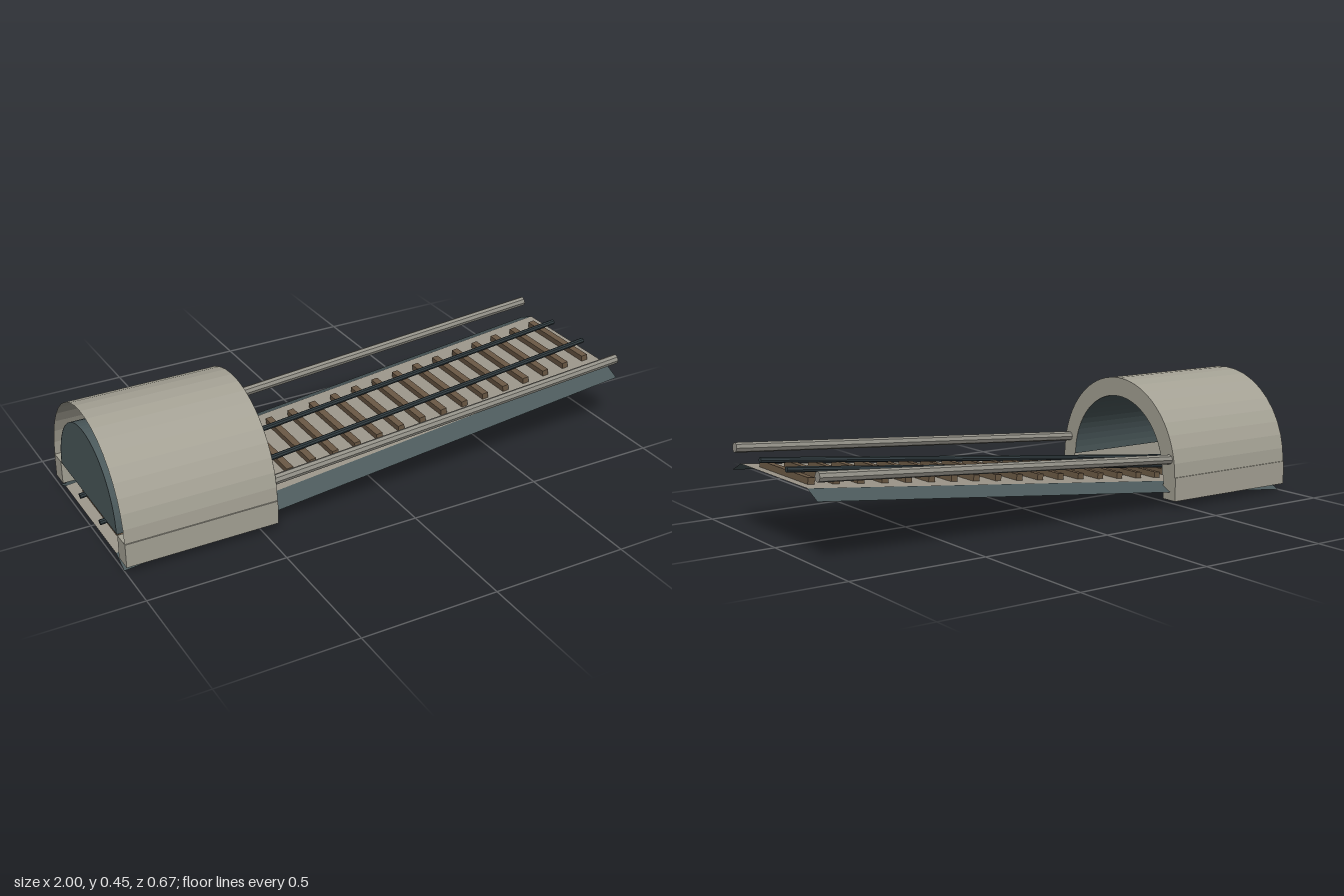
import * as THREE from 'three';

const mat = (name, color, extra = {}) => {
  const m = new THREE.MeshStandardMaterial({ color, ...extra });
  m.name = name;
  return m;
};

export function createModel() {
  const model = new THREE.Group();
  model.name = 'rampTrackWithTunnel';
  const both = { side: THREE.DoubleSide };
  const stone = mat('stone', 0xa5a295, { ...both, flatShading: true });
  const deckStone = mat('deck stone', 0x9d978b, both);
  const slate = mat('slate', 0x4b595b, { ...both, flatShading: true });
  const steel = mat('dark steel', 0x303b3f, { flatShading: true });
  const wood = mat('sleeper wood', 0x6a5844);
  const railing = mat('railing grey', 0x929087, { flatShading: true });

  const add = (name, geo, material, parent = model) => {
    const m = new THREE.Mesh(geo, material);
    m.name = name;
    parent.add(m);
    return m;
  };

  const slope = 0.106;
  const deckY = x => 0.139 + slope * x;

  // Sloped strip along x between two (z, y offset) edges, upper side facing up
  const strip = (z0, d0, z1, d1) => {
    const g = new THREE.BufferGeometry();
    const p = [];
    for (const x of [-1, 1]) p.push(x, deckY(x) + d0, z0, x, deckY(x) + d1, z1);
    g.setAttribute('position', new THREE.Float32BufferAttribute(p, 3));
    g.setIndex([0, 1, 2, 1, 3, 2]);
    g.computeVertexNormals();
    return g;
  };
  add('deck', strip(-0.243, 0, 0.243, 0), deckStone);
  add('leftSkirt', strip(0.243, 0, 0.31, -0.031), slate);
  add('rightSkirt', strip(-0.31, -0.031, -0.243, 0), slate);

  // Sleepers, sunk slightly through the deck
  const sleepers = new THREE.Group();
  sleepers.name = 'sleepers';
  model.add(sleepers);
  const sleeperGeo = new THREE.BoxGeometry(0.025, 0.025, 0.35);
  for (let i = 0; i < 22; i++) {
    const x = -0.95 + i * 1.9 / 21;
    const s = add('sleeper', sleeperGeo, wood, sleepers);
    s.position.set(x, deckY(x) + 0.0095, 0);
    s.rotation.z = Math.atan(slope);
  }

  // Straight round bar between two points at a fixed z
  const bar = (name, x0, y0, x1, y1, z, r, material) => {
    const geo = new THREE.CylinderGeometry(r, r, Math.hypot(x1 - x0, y1 - y0), 8);
    const b = add(name, geo, material);
    b.position.set((x0 + x1) / 2, (y0 + y1) / 2, z);
    b.rotation.z = Math.atan2(y1 - y0, x1 - x0) - Math.PI / 2;
  };
  for (const s of [1, -1]) {
    const side = s > 0 ? 'left' : 'right';
    bar(side + 'Rail', -0.998, deckY(-1) + 0.036, 0.998, deckY(1) + 0.036, s * 0.096, 0.01, steel);
    bar(side + 'Handrail', -0.55, 0.174, 0.994, 0.291, s * 0.302, 0.018, railing);
  }

  // Tunnel
  const tunnel = new THREE.Group();
  tunnel.name = 'tunnel';
  model.add(tunnel);
  const x0 = -1, x1 = -0.447, len = x1 - x0, cx = (x0 + x1) / 2, cy = 0.117;
  const R = 0.333, r = 0.263;

  // Half tube along x, arched upwards
  const arch = (radius, length, segs) => {
    const g = new THREE.CylinderGeometry(radius, radius, length, segs, 1, true, 0, Math.PI);
    g.rotateZ(Math.PI / 2);
    return g;
  };
  add('tunnelShell', arch(R, len, 20), stone, tunnel).position.set(cx, cy, 0);
  add('tunnelLining', arch(r, len, 32), slate, tunnel).position.set(cx, cy, 0);

  // Portal face at the open end
  const ring = new THREE.Shape();
  ring.absarc(0, 0, R, 0, Math.PI, false);
  ring.absarc(0, 0, r, Math.PI, 0, true);
  const portal = add('portalFace', new THREE.ShapeGeometry(ring, 20), stone, tunnel);
  portal.position.set(x1, cy, 0);
  portal.rotation.y = Math.PI / 2;

  // Half-round panel closing the far end above the track
  const panel = add('endPanel', new THREE.CircleGeometry(r, 32, 0, Math.PI), slate, tunnel);
  panel.position.set(x0 + 0.001, cy, 0);
  panel.rotation.y = -Math.PI / 2;

  // Footings under the arch
  for (const s of [1, -1]) {
    add(s > 0 ? 'leftFooting' : 'rightFooting', new THREE.BoxGeometry(len, 0.088, 0.067), stone, tunnel)
      .position.set(cx, 0.074, s * 0.3035);
  }
  return model;
}
